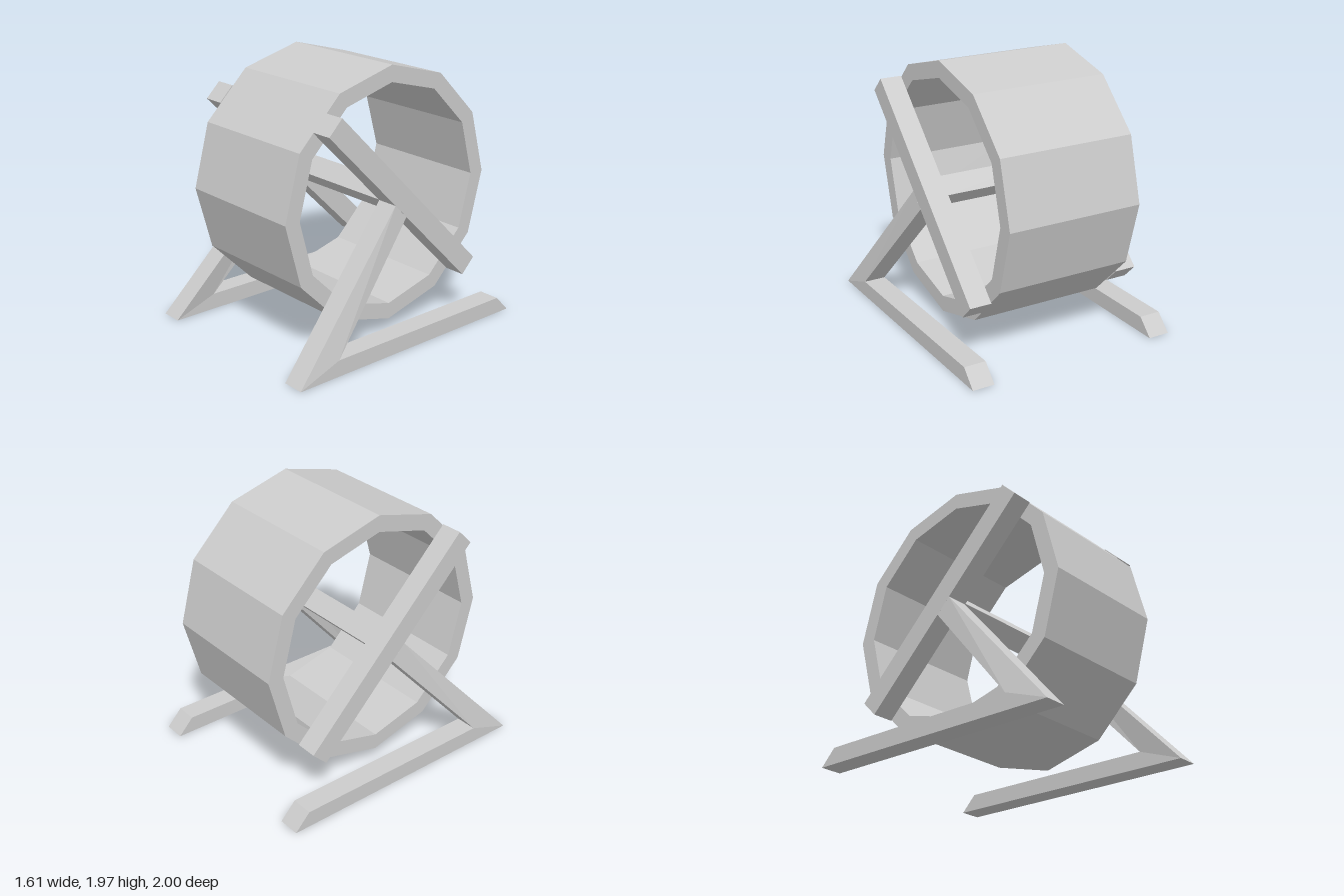
import * as THREE from 'three';

const mat = new THREE.MeshStandardMaterial({ color: 0xcccccc, flatShading: true });
const HUB_Y = 1.035, HUB_Z = -0.05; // centre of the drum
const BEAM = 0.155;                 // thickness of the square timber

function add(parent, name, geometry) {
  const mesh = new THREE.Mesh(geometry, mat);
  mesh.name = name;
  parent.add(mesh);
  return mesh;
}

// Extrudes a side profile drawn in (-z, y) along x, from x0 to x0 + width
function sideExtrude(shape, x0, width) {
  return new THREE.ExtrudeGeometry(shape, { depth: width, bevelEnabled: false })
    .rotateY(Math.PI / 2).translate(x0, 0, 0);
}

function polygon(radius, sides) {
  return Array.from({ length: sides }, (_, i) => {
    const a = (i / sides) * Math.PI * 2;
    return new THREE.Vector2(Math.cos(a) * radius, Math.sin(a) * radius);
  });
}

export function createModel() {
  const group = new THREE.Group();
  group.name = 'drumOnStand';

  // Hollow twelve-sided drum
  const ring = new THREE.Shape(polygon(0.93, 12));
  ring.holes.push(new THREE.Path(polygon(0.81, 12)));
  add(group, 'drum', sideExtrude(ring, -0.512, 1.024)).position.set(0, HUB_Y, HUB_Z);

  // Square axle, turned in line with the cross beams
  const axle = add(group, 'axle', new THREE.BoxGeometry(1.03, BEAM, BEAM));
  axle.position.set(0, HUB_Y, HUB_Z);
  axle.rotation.x = Math.PI / 4;

  // Foot with slanted leg, as (z, y) points
  const profile = [[1, 0], [0.055, 1.03], [-0.05, 0.925], [0.67, 0.12], [-0.885, 0.12], [-1, 0]];
  const standShape = new THREE.Shape(profile.map(([z, y]) => new THREE.Vector2(-z, y)));

  for (const side of [1, -1]) {
    const name = side > 0 ? 'left' : 'right';

    // Diagonal beam across the open end of the drum
    const beam = add(group, name + 'CrossBeam', new THREE.BoxGeometry(0.163, BEAM, 1.81));
    beam.position.set(side * 0.5935, HUB_Y, HUB_Z);
    beam.rotation.x = -Math.PI / 4;

    // The leg's upper end leans in to meet the beam
    const geo = sideExtrude(standShape, side > 0 ? 0.64 : -0.803, 0.163);
    const pos = geo.attributes.position;
    for (let i = 0; i < pos.count; i++) {
      if (pos.getY(i) > 0.5) pos.setX(i, pos.getX(i) - side * 0.128);
    }
    geo.computeVertexNormals();
    add(group, name + 'Stand', geo);
  }
  return group;
}
